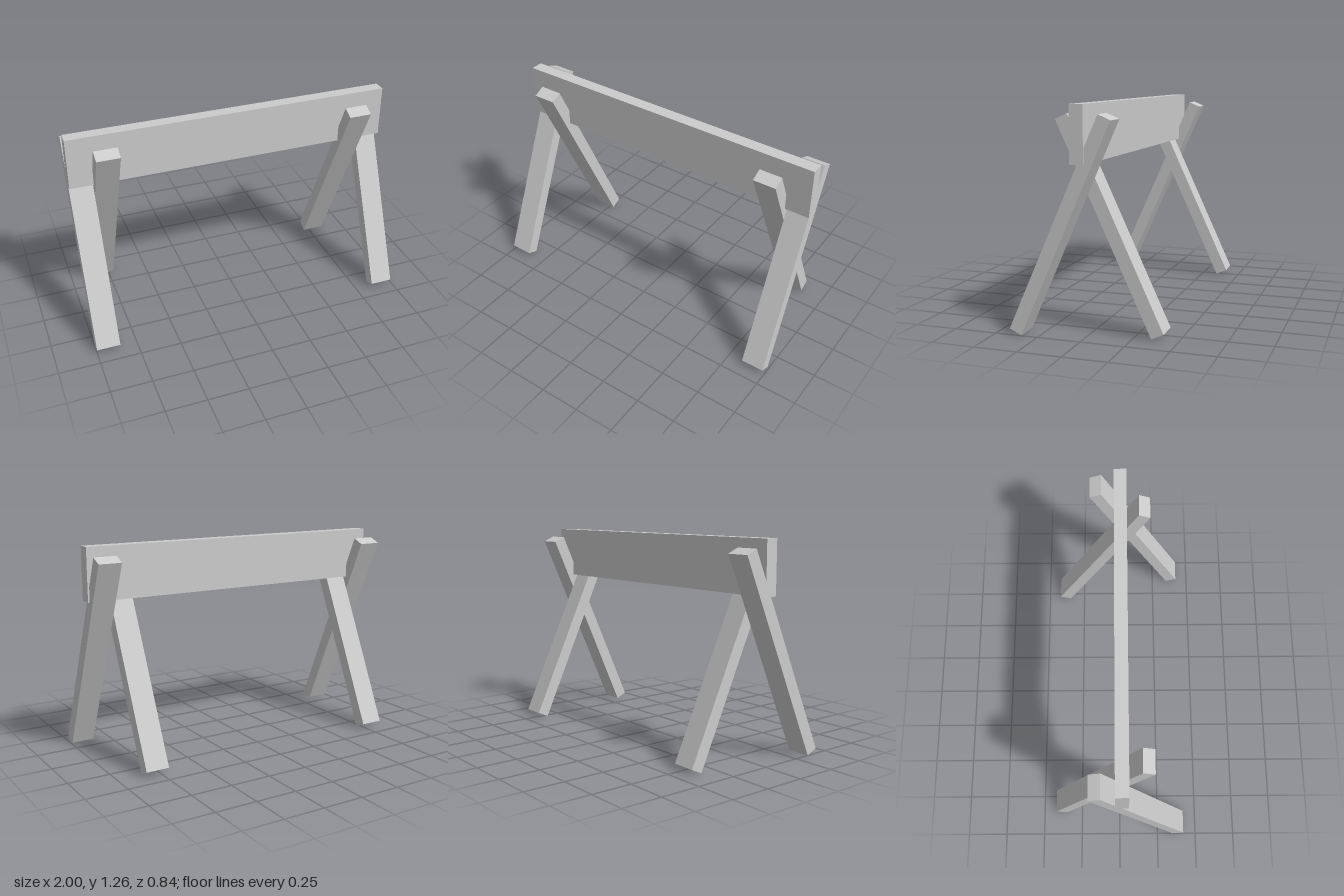
import * as THREE from 'three';

const material = new THREE.MeshStandardMaterial({ color: 0xcccccc, flatShading: true });

// Square-ended board running from foot to top, given as [z, y] centres of its ends
function makeLeg(name, x0, x1, foot, top) {
  const dz = top[0] - foot[0], dy = top[1] - foot[1];
  const leg = new THREE.Mesh(new THREE.BoxGeometry(x1 - x0, Math.hypot(dz, dy), 0.076), material);
  leg.name = name;
  leg.position.set((x0 + x1) / 2, (foot[1] + top[1]) / 2, (foot[0] + top[0]) / 2);
  leg.rotation.x = Math.atan2(dz, dy);
  return leg;
}

export function createModel() {
  const group = new THREE.Group();
  group.name = 'sawhorse';

  // Upright plank resting in the crossed legs
  const beam = new THREE.Mesh(new THREE.BoxGeometry(2, 0.314, 0.077), material);
  beam.name = 'beam';
  beam.position.set(0, 1.107, 0.011);
  group.add(beam);

  // Outer legs stand at the front and lean back
  const outerFoot = [0.385, 0.016], outerTop = [-0.14, 1.198];
  group.add(makeLeg('rightFrontLeg', -1, -0.857, outerFoot, outerTop));
  group.add(makeLeg('leftFrontLeg', 0.851, 0.99, outerFoot, outerTop));

  // Inner legs stand at the back and lean forward
  const innerFoot = [-0.386, 0.02], innerTop = [0.159, 1.193];
  group.add(makeLeg('rightBackLeg', -0.857, -0.716, innerFoot, innerTop));
  group.add(makeLeg('leftBackLeg', 0.711, 0.851, innerFoot, innerTop));

  return group;
}
